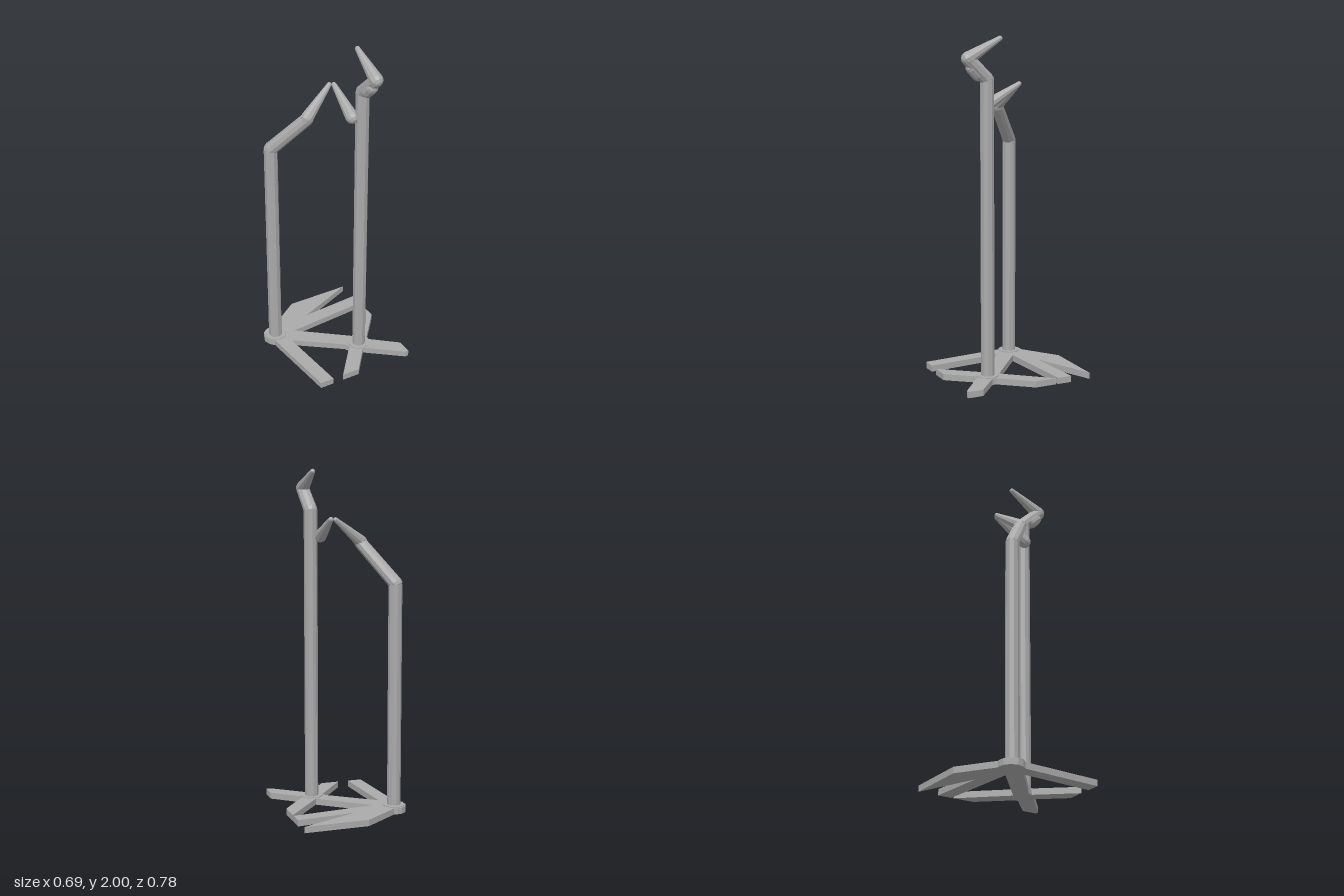
import * as THREE from 'three';

const HALF_PI = Math.PI / 2;

// Faceted bar between two points, rounded at both ends, with its own radius at each end
function roundedBar(name, a, b, ra, rb, material) {
  const start = new THREE.Vector3(...a);
  const dir = new THREE.Vector3(...b).sub(start);
  const length = dir.length();
  const profile = [];
  for (let i = 0; i <= 3; i++) {
    const t = -HALF_PI + (i / 3) * HALF_PI;
    profile.push(new THREE.Vector2(Math.max(0, ra * Math.cos(t)), ra * Math.sin(t)));
  }
  for (let i = 0; i <= 3; i++) {
    const t = (i / 3) * HALF_PI;
    profile.push(new THREE.Vector2(Math.max(0, rb * Math.cos(t)), length + rb * Math.sin(t)));
  }
  const mesh = new THREE.Mesh(new THREE.LatheGeometry(profile, 10), material);
  mesh.name = name;
  mesh.position.copy(start);
  mesh.quaternion.setFromUnitVectors(new THREE.Vector3(0, 1, 0), dir.normalize());
  return mesh;
}

// Upright ten-sided cylinder between two heights
function upright(name, x, z, y0, y1, r, material) {
  const mesh = new THREE.Mesh(new THREE.CylinderGeometry(r, r, y1 - y0, 10), material);
  mesh.name = name;
  mesh.position.set(x, (y0 + y1) / 2, z);
  return mesh;
}

export function createModel() {
  const model = new THREE.Group();
  model.name = 'postSculpture';
  const grey = new THREE.MeshStandardMaterial({ color: 0xaaaaaa });
  grey.name = 'grey';
  grey.flatShading = true;

  // Flat base with splayed feet, outlined as [x, z]
  const outline = [
    [-0.25, -0.24], [-0.04, -0.39], [0.345, -0.39], [-0.015, -0.237],
    [0.345, -0.265], [0.345, -0.18], [-0.16, -0.137], [0.123, 0.092],
    [0.345, -0.165], [0.345, -0.035], [0.195, 0.145], [0.195, 0.17],
    [0.345, 0.298], [0.345, 0.39], [0.323, 0.39], [0.12, 0.227],
    [-0.01, 0.39], [-0.12, 0.39], [0.055, 0.172], [0.04, 0.142],
    [-0.222, -0.058], [-0.185, 0.39], [-0.27, 0.39], [-0.311, -0.108],
    [-0.335, -0.135], [-0.347, -0.175], [-0.332, -0.215], [-0.302, -0.238], [-0.27, -0.242],
  ];
  const shape = new THREE.Shape(outline.map(([x, z]) => new THREE.Vector2(x, -z)));
  const baseGeometry = new THREE.ExtrudeGeometry(shape, { depth: 0.037, bevelEnabled: false });
  baseGeometry.rotateX(-HALF_PI);
  const base = new THREE.Mesh(baseGeometry, grey);
  base.name = 'base';
  model.add(base);

  // Shorter post: straight shaft, leaning neck and tapered beak
  const shortPost = new THREE.Group();
  shortPost.name = 'shortPost';
  shortPost.add(
    upright('shortFlange', -0.277, -0.167, 0.03, 0.042, 0.066, grey),
    upright('shortShaft', -0.277, -0.167, 0.03, 1.35, 0.04, grey),
    roundedBar('shortNeck', [-0.277, 1.355, -0.167], [-0.122, 1.575, -0.014], 0.04, 0.037, grey),
    roundedBar('shortBeak', [-0.122, 1.585, -0.012], [0.052, 1.72, -0.07], 0.037, 0.014, grey),
  );
  model.add(shortPost);

  // Taller post: straight shaft, forward neck with a collar, and two tapered beaks
  const tallPost = new THREE.Group();
  tallPost.name = 'tallPost';
  tallPost.add(
    upright('tallFlange', 0.125, 0.167, 0.03, 0.042, 0.066, grey),
    upright('tallShaft', 0.125, 0.167, 0.03, 1.76, 0.04, grey),
    roundedBar('tallNeck', [0.125, 1.76, 0.167], [0.135, 1.875, 0.285], 0.04, 0.038, grey),
    roundedBar('neckCollar', [0.122, 1.785, 0.22], [0.126, 1.825, 0.26], 0.036, 0.036, grey),
    roundedBar('topBeak', [0.135, 1.88, 0.287], [0.135, 1.985, 0.092], 0.04, 0.015, grey),
    roundedBar('sideBeak', [0.073, 1.607, 0.144], [0.075, 1.72, -0.056], 0.038, 0.015, grey),
  );
  model.add(tallPost);

  return model;
}
